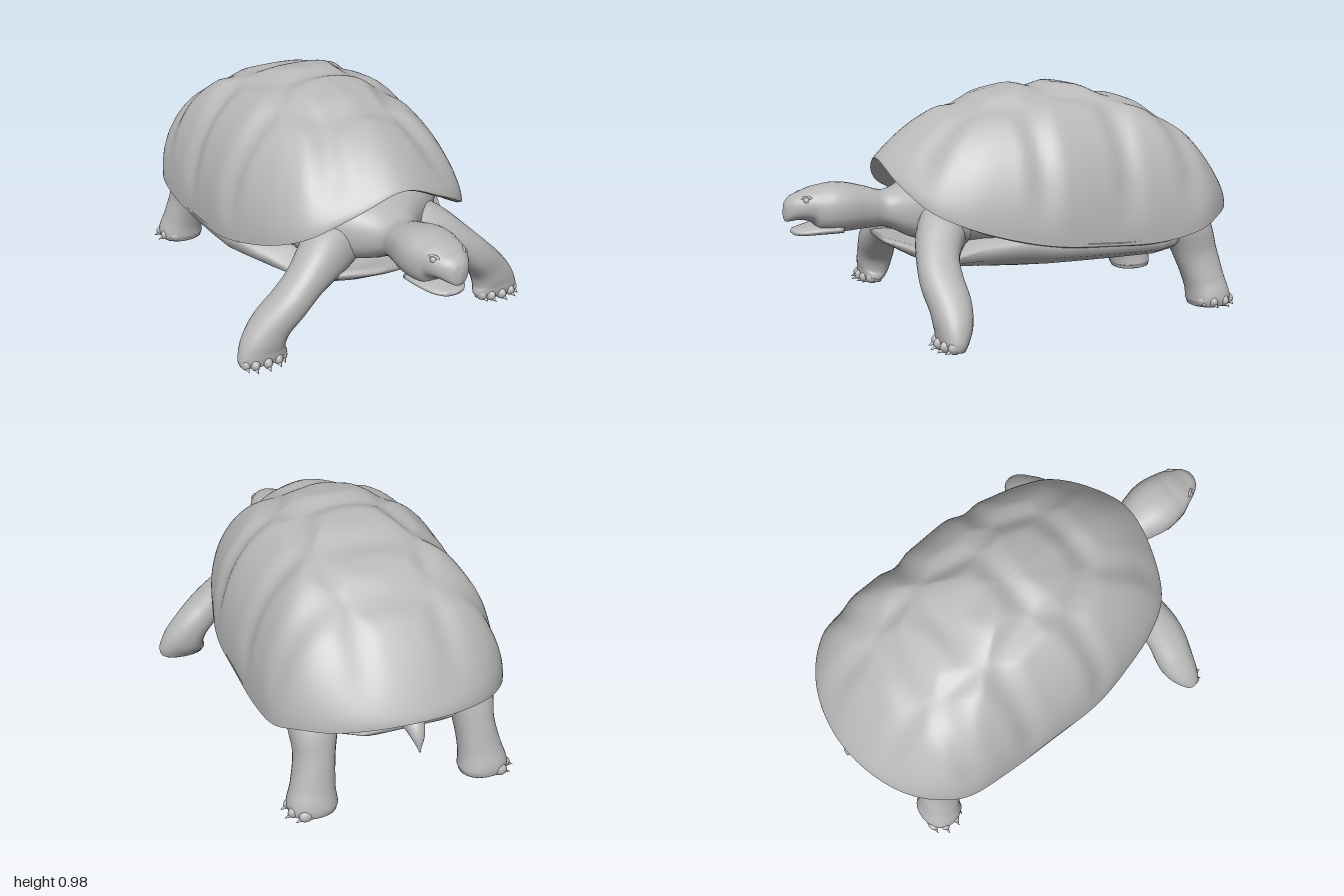
import * as THREE from 'three';
import { mergeVertices } from 'three/addons/utils/BufferGeometryUtils.js';

const V = (x, y, z) => new THREE.Vector3(x, y, z);
const { smoothstep, lerp, degToRad } = THREE.MathUtils;
const skin = new THREE.MeshStandardMaterial({ color: 0xb8b8b8, side: THREE.DoubleSide });
skin.name = 'stone grey';

function part(name, geometry, parent) {
  const mesh = new THREE.Mesh(geometry, skin);
  mesh.name = name;
  parent.add(mesh);
  return mesh;
}

// Smooth surface through closed rings of equal length
function loft(rings) {
  const n = rings[0].length, pos = [], idx = [];
  rings.forEach((r) => r.forEach((p) => pos.push(p.x, p.y, p.z)));
  for (let i = 0; i < rings.length - 1; i++) {
    for (let j = 0; j < n; j++) {
      const a = i * n + j, b = i * n + (j + 1) % n;
      idx.push(a, b, b + n, a, b + n, a + n);
    }
  }
  let g = new THREE.BufferGeometry();
  g.setAttribute('position', new THREE.Float32BufferAttribute(pos, 3));
  g.setIndex(idx);
  g = mergeVertices(g, 1e-5);
  g.computeVertexNormals();
  return g;
}

// Tapered limb: stations [x, y, z, radius across, radius along ref], power < 1 is boxier;
// a fixed axis keeps every cross-section parallel
function limb(stations, ref, power = 1, steps = 40, axis = null) {
  const sides = 28, rings = [];
  const path = new THREE.CatmullRomCurve3(stations.map((s) => V(s[0], s[1], s[2])));
  const size = new THREE.SplineCurve(stations.map((s) => new THREE.Vector2(s[3], s[4])));
  const soft = (v) => Math.sign(v) * Math.abs(v) ** power;
  for (let i = 0; i <= steps; i++) {
    const c = path.getPoint(i / steps), t = axis || path.getTangent(i / steps), r = size.getPoint(i / steps);
    const v = ref.clone().addScaledVector(t, -ref.dot(t)).normalize();
    const u = V(0, 0, 0).crossVectors(v, t);
    const ring = [];
    for (let j = 0; j < sides; j++) {
      const a = j / sides * Math.PI * 2;
      ring.push(c.clone().addScaledVector(u, r.x * soft(Math.cos(a))).addScaledVector(v, r.y * soft(Math.sin(a))));
    }
    const cap = ring.map(() => c.clone());
    if (i === 0) rings.push(cap);
    rings.push(ring);
    if (i === steps) rings.push(cap);
  }
  return loft(rings);
}

// Rim of the domed shell, left half mirrored to the right
const halfRim = [[0, .68, .6], [.2, .605, .57], [.37, .51, .485], [.445, .45, .36], [.49, .4, .2],
  [.525, .36, 0], [.52, .34, -.25], [.51, .335, -.5], [.49, .37, -.7], [.43, .41, -.81],
  [.33, .43, -.9], [.18, .45, -.965], [0, .46, -.99]];
const mirrored = halfRim.slice(1, -1).reverse().map(([x, y, z]) => [-x, y, z]);
const rim = new THREE.CatmullRomCurve3([...halfRim, ...mirrored].map((p) => V(...p)), true)
  .getSpacedPoints(160).slice(0, 160);

// Plate centres: five along the spine, four down each side
const plates = [[0, .4], [0, .08], [0, -.28], [0, -.52], [0, -.8]];
for (const [x, z] of [[.4, .24], [.42, -.18], [.42, -.52], [.36, -.77]]) plates.push([x, z], [-x, z]);

function groove(x, z) {
  const d = plates.map(([px, pz]) => Math.hypot(x - px, z - pz)).sort((a, b) => a - b);
  return 1 - smoothstep(d[1] - d[0], 0, .18);
}

function buildShell(parent) {
  const cz = -.1, rings = [];
  for (let i = 0; i <= 60; i++) {
    const rho = Math.sin(i / 60 * Math.PI / 2);
    rings.push(rim.map((r) => {
      // Steep flanks, sloping front, flared ends
      const flank = (r.x / .525) ** 2;
      const n = 1.8 - .22 * smoothstep(r.z, -.1, .55) + .4 * flank;
      const h = Math.max(0, 1 - rho ** n) ** (1 / n) * (1 - .5 * (1 - flank) * rho ** 8);
      const x = r.x * rho, z = cz + (r.z - cz) * rho;
      const core = V(0, .35, z * .85 - .02);
      const sink = .036 * smoothstep(h, .05, .4) * groove(x, z);
      return V(x, lerp(r.y, .985, h), z).lerp(core, sink);
    }));
  }
  part('shell', loft(rings), parent);
  // Hollow underside with a thin lip
  const under = [[1, 0, 0], [.97, -.008, 0], [.9, .01, .05], [.75, .02, .3], [.4, 0, .8], [0, 0, 1]];
  part('shellUnderside', loft(under.map(([s, dy, k]) => rim.map((r) =>
    V(r.x * s, lerp(r.y + dy, .58, k), cz + (r.z - cz) * s)))), parent);
}

// Belly plate and its bridges to the shell: stations [z, half width, bottom y, edge y]
function buildBelly(parent) {
  const st = [[.6, .12, .335, .35], [.5, .24, .285, .325], [.4, .34, .25, .3], [.25, .44, .25, .36], [.1, .506, .25, .385],
    [0, .524, .25, .37], [-.15, .525, .25, .36], [-.3, .52, .25, .35], [-.5, .51, .25, .345], [-.6, .46, .255, .345],
    [-.72, .32, .285, .33], [-.88, .2, .36, .375]];
  const rings = st.map(([z, w, b, e]) => {
    const half = [[.35, b], [.66, b], [.82, b + (e - b) * .16], [.94, b + (e - b) * .45], [1, e], [.7, e + .01]];
    return [V(0, b, z), ...half.map(([x, y]) => V(x * w, y, z)), V(0, e + .01, z),
      ...half.slice().reverse().map(([x, y]) => V(-x * w, y, z))];
  });
  const cap = (r) => r.map(() => V(0, (r[0].y + r[7].y) / 2, r[0].z));
  part('bellyPlate', loft([cap(rings[0]), ...rings, cap(rings[rings.length - 1])]), parent);
}

// Toes with short claws along the edge of a foot, all pointing one way
function addToes(parent, x, z, rx, rz, from, to, count, heading) {
  for (let i = 0; i < count; i++) {
    const a = degToRad(lerp(from, to, i / (count - 1)));
    const toe = new THREE.Group();
    toe.name = 'toe';
    toe.position.set(x + Math.cos(a) * rx, .032, z + Math.sin(a) * rz);
    toe.rotation.y = heading;
    part('toePad', new THREE.SphereGeometry(.026, 14, 10).scale(.8, 1, 1.2), toe);
    part('claw', new THREE.ConeGeometry(.016, .045, 10).rotateX(Math.PI / 2 + .35), toe).position.set(0, -.012, .025);
    parent.add(toe);
  }
}

function buildSide(sign, label) {
  const side = new THREE.Group();
  side.name = label;
  side.scale.x = sign;
  const zAxis = V(0, 0, 1);
  part('frontLeg', limb([[.1, .43, .3, .13, .12], [.25, .385, .4, .112, .105], [.37, .317, .455, .08, .088],
    [.455, .243, .468, .075, .088], [.535, .16, .46, .08, .084], [.574, .088, .464, .096, .074],
    [.582, .04, .474, .108, .058], [.582, .015, .478, .1, .048]], zAxis, .9), side);
  addToes(side, .583, .477, .085, .042, 15, 165, 5, .15);
  part('hindLeg', limb([[.3, .45, -.58, .11, .11], [.335, .35, -.7, .1, .108], [.347, .23, -.75, .082, .095],
    [.365, .11, -.785, .09, .087], [.374, .04, -.8, .104, .092], [.374, .012, -.802, .098, .086]], zAxis, .9), side);
  addToes(side, .395, -.805, .065, .075, 65, -65, 4, Math.PI / 2 + .1);
  // Eye with a raised lid, and a nostril
  const eye = new THREE.Group();
  eye.name = 'eye';
  eye.position.set(.07, .533, .915);
  eye.rotation.y = 1.05;
  part('eyeball', new THREE.SphereGeometry(.015, 16, 12), eye);
  part('eyelid', new THREE.TorusGeometry(.019, .006, 8, 20).scale(1.15, .85, 1), eye);
  side.add(eye);
  part('nostril', new THREE.TorusGeometry(.006, .003, 6, 12), side).position.set(.014, .515, .988);
  return side;
}

// Head station from z, top, bottom and half width
const slice = ([z, top, bottom, w]) => [0, (top + bottom) / 2, z, (top - bottom) / 2, w];

export function createModel() {
  const model = new THREE.Group();
  model.name = 'tortoise';
  buildShell(model);
  buildBelly(model);
  const body = part('body', new THREE.SphereGeometry(1, 40, 28).scale(.45, .19, .64), model);
  body.position.set(0, .445, -.14);

  const xAxis = V(1, 0, 0), zAxis = V(0, 0, 1);
  part('neckAndHead', limb([[.3, .64, .3, .36], [.4, .61, .32, .27], [.48, .575, .345, .165], [.57, .545, .388, .094],
    [.65, .565, .39, .102], [.73, .585, .385, .12], [.8, .59, .385, .122], [.86, .582, .395, .11], [.885, .576, .43, .1],
    [.93, .56, .445, .082], [.97, .545, .442, .058], [.992, .522, .44, .033], [1, .495, .455, .008]].map(slice),
  xAxis, .85, 72, zAxis), model);
  part('lowerJaw', limb([[.77, .43, .384, .11], [.87, .424, .382, .098], [.93, .413, .38, .072],
    [.96, .408, .383, .044], [.972, .4, .392, .008]].map(slice), xAxis, .85, 24, zAxis), model);
  part('tail', limb([[0, .39, -.72, .07, .09], [0, .415, -.84, .045, .06], [0, .415, -.92, .045, .045],
    [0, .38, -.966, .028, .028], [0, .32, -.992, .003, .003]], xAxis), model);

  model.add(buildSide(1, 'leftSide'), buildSide(-1, 'rightSide'));
  return model;
}
